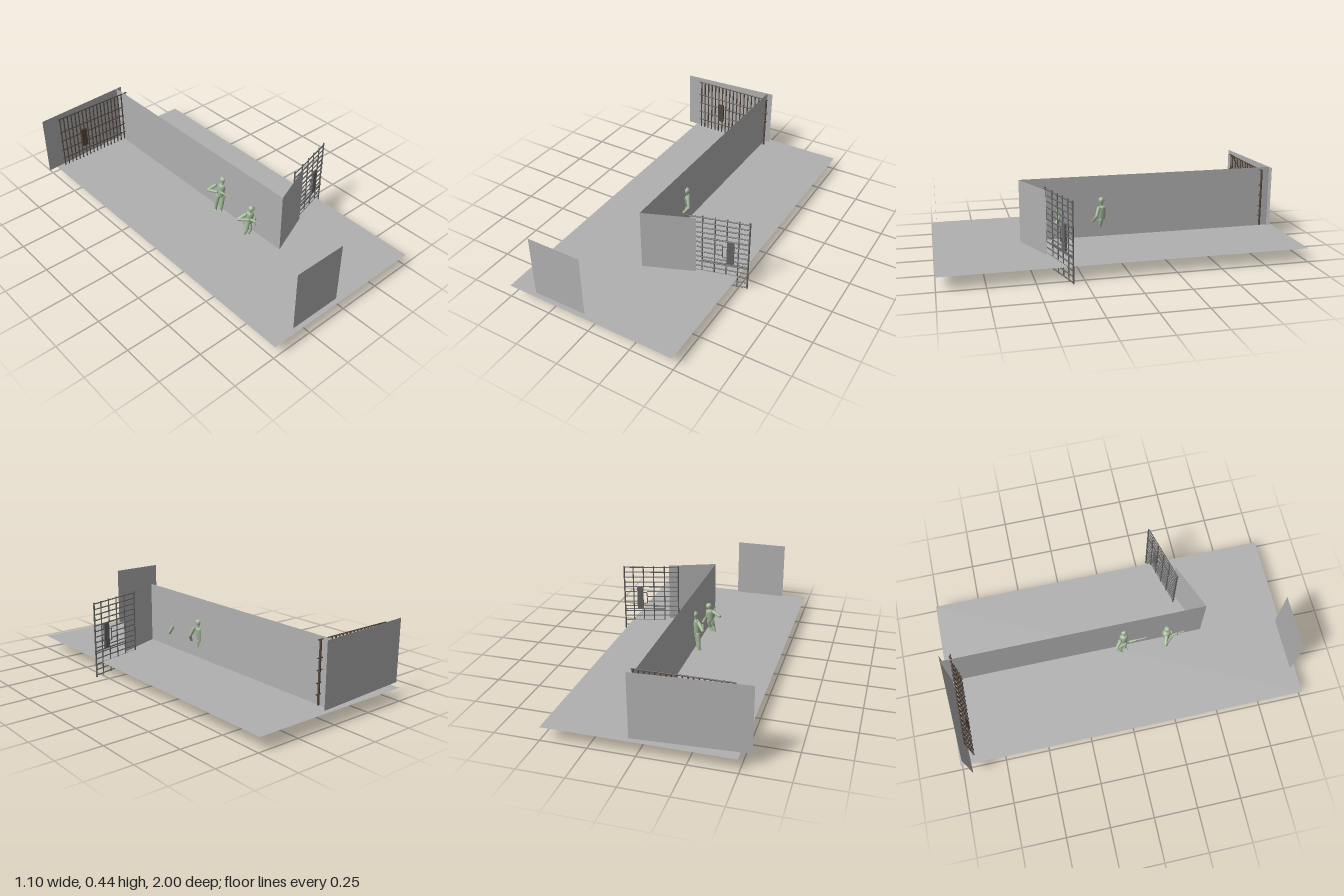
import * as THREE from 'three';

const flat = (name, color, side = THREE.FrontSide) => {
  const m = new THREE.MeshStandardMaterial({ color, side });
  m.name = name;
  return m;
};

export function createModel() {
  const model = new THREE.Group();
  model.name = 'cellBlock';
  const concrete = flat('concreteGrey', 0xb0b0b0, THREE.DoubleSide);
  const steel = flat('steelGrey', 0x666666);
  const rust = flat('darkRustedIron', 0x55483f);
  const green = flat('paleGreen', 0xa3b899);

  const FLOOR = 0.077, TOP = 0.433;
  const up = new THREE.Vector3(0, 1, 0);

  function add(parent, geometry, material, name, x = 0, y = 0, z = 0) {
    const mesh = new THREE.Mesh(geometry, material);
    mesh.name = name;
    mesh.position.set(x, y, z);
    parent.add(mesh);
    return mesh;
  }
  // Upright sheet running between two floor points
  function wall(name, x1, z1, x2, z2) {
    const w = add(model, new THREE.PlaneGeometry(Math.hypot(x2 - x1, z2 - z1), TOP - FLOOR),
      concrete, name, (x1 + x2) / 2, (TOP + FLOOR) / 2, (z1 + z2) / 2);
    w.rotation.y = -Math.atan2(z2 - z1, x2 - x1);
  }
  // Round bar between two points in the plane of a grille
  function bar(parent, material, name, x1, y1, x2, y2, r, z = 0) {
    const d = new THREE.Vector3(x2 - x1, y2 - y1, 0);
    const b = add(parent, new THREE.CylinderGeometry(r, r, d.length(), 8), material, name,
      (x1 + x2) / 2, (y1 + y2) / 2, z);
    b.quaternion.setFromUnitVectors(up, d.normalize());
  }

  // Floor and walls
  add(model, new THREE.PlaneGeometry(0.99, 2), concrete, 'floor', 0, FLOOR, 0).rotation.x = -Math.PI / 2;
  wall('longWall', 0.01, 0.52, 0.01, -0.97);
  wall('angledWall', 0.01, 0.52, 0.28, 0.41);
  wall('frontWall', -0.345, 0.973, -0.035, 0.973);
  wall('backWall', -0.55, -0.936, 0.045, -0.972);

  // Front grille, turned slightly, with a lock plate in a small opening
  const grille = new THREE.Group();
  grille.name = 'frontGrille';
  grille.position.set(0.215, 0, 0.405);
  grille.rotation.y = 0.266;
  model.add(grille);
  const W = 0.338, y0 = 0.3, y1 = 0.15;
  [0.004, 0.09, 0.157, 0.22, 0.283, W].forEach((x, i) => {
    const r = i === 0 || i === 5 ? 0.0045 : 0.0035;
    if (i === 3) {
      bar(grille, steel, 'grilleUpright', x, 0.004, x, y1, r);
      bar(grille, steel, 'grilleUpright', x, y0, x, 0.437, r);
    } else bar(grille, steel, 'grilleUpright', x, 0.001, x, 0.437, r);
  });
  for (let i = 0; i < 14; i++) {
    const y = 0.01 + i * 0.0322;
    if (y > 0.185 && y < 0.27) {
      bar(grille, steel, 'grilleCrossbar', 0, y, 0.2, y, 0.0035, 0.004);
      bar(grille, steel, 'grilleCrossbar', 0.262, y, W, y, 0.0035, 0.004);
    } else bar(grille, steel, 'grilleCrossbar', 0, y, W, y, 0.0035, 0.004);
  }
  for (const y of [y0, y1]) bar(grille, steel, 'grilleDoorRail', 0.09, y, W, y, 0.004, 0.006);
  for (const y of [0.19, 0.26]) bar(grille, steel, 'lockFrame', 0.2, y, 0.225, y, 0.003, 0.004);
  bar(grille, steel, 'lockFrame', 0.2, 0.19, 0.2, 0.26, 0.003, 0.004);
  add(grille, new THREE.BoxGeometry(0.038, 0.145, 0.012), steel, 'lockPlate', 0.242, 0.226, 0.004);

  // Back bars
  const cell = new THREE.Group();
  cell.name = 'backBars';
  cell.position.z = -0.915;
  model.add(cell);
  for (let i = 0; i < 19; i++) {
    const x = -0.447 + i * 0.0265;
    bar(cell, rust, 'backUpright', x, 0.085, x, 0.42, i === 18 ? 0.006 : 0.004);
  }
  for (const y of [0.42, 0.327, 0.265, 0.2, 0.14])
    bar(cell, rust, 'backCrossbar', -0.46, y, 0.043, y, 0.0035, 0.004);
  add(cell, new THREE.BoxGeometry(0.038, 0.12, 0.014), rust, 'backLockPlate', -0.295, 0.23, 0.004);

  // Guards made of rounded limbs
  function limb(parent, name, a, b, r, r2 = r) {
    const p = new THREE.Vector3(...a), q = new THREE.Vector3(...b), d = q.clone().sub(p);
    const len = d.length();
    const profile = [[0, -r * 0.6], [r * 0.7, -r * 0.4], [r, 0], [r2, len], [r2 * 0.7, len + r2 * 0.4], [0, len + r2 * 0.6]];
    const m = add(parent, new THREE.LatheGeometry(profile.map(v => new THREE.Vector2(...v)), 12), green, name, ...a);
    m.quaternion.setFromUnitVectors(up, d.normalize());
  }
  function guard(name, g) {
    const body = new THREE.Group();
    body.name = name;
    model.add(body);
    const [hx, hy, hz] = g.head;
    add(body, new THREE.SphereGeometry(0.014, 14, 10), green, 'head', hx, hy - 0.005, hz).scale.y = 1.2;
    add(body, new THREE.SphereGeometry(0.018, 14, 8, 0, Math.PI * 2, 0, Math.PI * 0.55), green, 'helmet', hx, hy, hz);
    limb(body, 'torso', g.hips, g.chest, 0.019, 0.025);
    limb(body, 'neck', g.chest, g.head, 0.009);
    for (const [a, b, c] of g.arms) {
      limb(body, 'upperArm', a, b, 0.011, 0.009);
      limb(body, 'forearm', b, c, 0.009, 0.007);
    }
    for (const [a, b, c, toe] of g.legs) {
      limb(body, 'thigh', a, b, 0.014, 0.011);
      limb(body, 'shin', b, c, 0.011, 0.008);
      limb(body, 'boot', c, toe, 0.009, 0.007);
    }
    const [s, e] = g.gun;
    limb(body, 'gunBarrel', s, e, 0.004, 0.003);
    const mid = s.map((v, i) => v * 0.6 + e[i] * 0.4);
    limb(body, 'gunMagazine', mid, [mid[0], mid[1] - 0.02, mid[2] + 0.005], 0.004);
    limb(body, 'gunStock', s, mid, 0.007, 0.006);
  }
  guard('standingGuard', {
    head: [0.01, 0.29, 0.052], chest: [0.005, 0.245, 0.05], hips: [-0.002, 0.18, 0.045],
    arms: [[[-0.02, 0.252, 0.025], [-0.053, 0.215, -0.005], [-0.035, 0.225, 0.055]],
      [[0.03, 0.252, 0.07], [0.045, 0.205, 0.088], [0.02, 0.17, 0.105]]],
    legs: [[[-0.012, 0.175, 0.035], [-0.02, 0.125, 0.03], [-0.022, 0.077, 0.025], [-0.035, 0.072, 0.038]],
      [[0.006, 0.175, 0.055], [-0.002, 0.125, 0.058], [-0.008, 0.077, 0.055], [-0.02, 0.072, 0.068]]],
    gun: [[-0.032, 0.235, 0.075], [-0.035, 0.255, 0.175]],
  });
  guard('leaningGuard', {
    head: [-0.005, 0.24, 0.305], chest: [-0.012, 0.205, 0.3], hips: [-0.018, 0.15, 0.3],
    arms: [[[-0.035, 0.21, 0.295], [-0.08, 0.19, 0.28], [-0.04, 0.19, 0.325]],
      [[0.012, 0.208, 0.3], [0.028, 0.17, 0.312], [-0.01, 0.18, 0.335]]],
    legs: [[[-0.028, 0.145, 0.3], [-0.035, 0.11, 0.305], [-0.05, 0.068, 0.295], [-0.066, 0.062, 0.302]],
      [[-0.008, 0.145, 0.3], [-0.015, 0.1, 0.312], [-0.033, 0.064, 0.305], [-0.046, 0.058, 0.315]]],
    gun: [[-0.03, 0.19, 0.33], [-0.024, 0.2, 0.405]],
  });

  return model;
}
